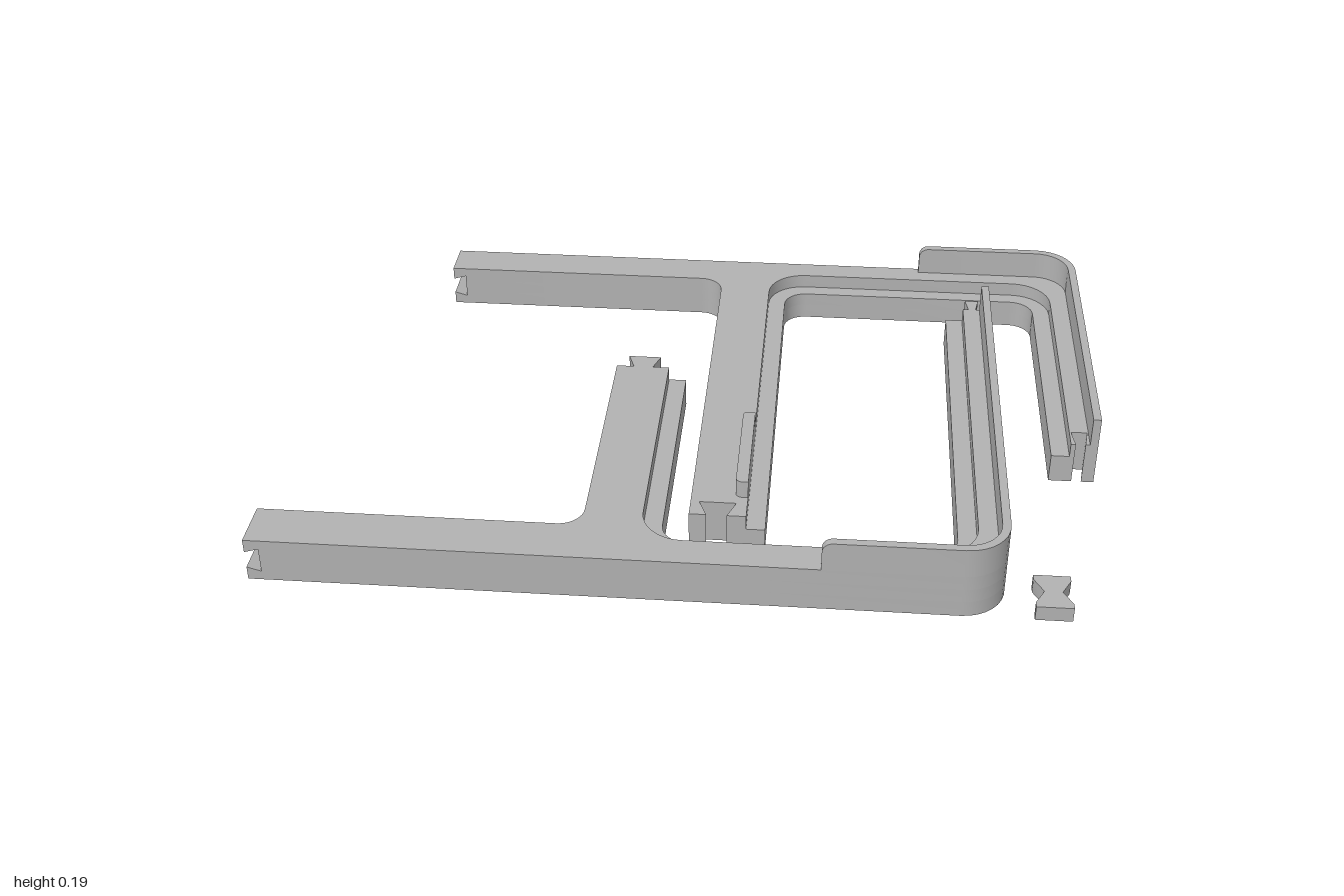
import * as THREE from 'three';
import { toCreasedNormals } from 'three/addons/utils/BufferGeometryUtils.js';

const BAR = 0.112, LEDGE = 0.075, TOP = 0.187, HOLE = 0.04;

export function createModel() {
  const group = new THREE.Group();
  const grey = new THREE.MeshStandardMaterial({ color: 0xb2b2b2 });
  grey.name = 'grey plastic';

  // closed outline from [x, y, cornerRadius] points (rounded corners are right angles)
  const outline = (pts) => {
    const shape = new THREE.Shape();
    const n = pts.length;
    pts.forEach(([x, y, r = 0], i) => {
      const a = pts[(i + n - 1) % n], b = pts[(i + 1) % n];
      const toward = (q, d) => {
        const l = Math.hypot(q[0] - x, q[1] - y);
        return [x + (q[0] - x) * d / l, y + (q[1] - y) * d / l];
      };
      const s = toward(a, r);
      if (i === 0) shape.moveTo(...s); else shape.lineTo(...s);
      if (r) shape.bezierCurveTo(...toward(a, r * 0.448), ...toward(b, r * 0.448), ...toward(b, r));
    });
    shape.closePath();
    return shape;
  };
  const add = (parent, name, geo) => {
    const mesh = new THREE.Mesh(toCreasedNormals(geo, 0.6), grey);
    mesh.name = name;
    parent.add(mesh);
  };
  const extrude = (shape, depth) =>
    new THREE.ExtrudeGeometry(shape, { depth, bevelEnabled: false, curveSegments: 8 });

  // plan-view slab: points are [x, z, radius], from height y0 to y1
  const slab = (parent, name, pts, y0, y1, hole) => {
    const shape = outline(pts.map(([x, z, r]) => [x, -z, r]));
    if (hole) shape.holes.push(new THREE.Path().absarc(hole[0], -hole[1], 0.022, 0, Math.PI * 2, true));
    add(parent, name, extrude(shape, y1 - y0).rotateX(-Math.PI / 2).translate(0, y0, 0));
  };
  // front-view profile, extruded between two z values
  const profile = (parent, name, shape, za, zb) =>
    add(parent, name, extrude(shape, Math.abs(zb - za)).translate(0, 0, Math.min(za, zb)));

  // dovetail tab or notch at the end of an arm
  const dovetail = (cx, narrow, wide, z0, z1) =>
    [[cx + narrow, z0], [cx + wide, z1], [cx - wide, z1], [cx - narrow, z0]];

  // half frame: long bar, cross arm, stepped side arm and raised rim
  const halfFrame = (name, p) => {
    const part = new THREE.Group();
    part.name = name;
    group.add(part);
    const s = Math.sign(p.zi - p.zo);
    const start = p.x0 + 0.06;

    // body layers; the upper one steps back to leave the panel ledge
    const plan = (step) => {
      const g = step ? 0.045 : 0, r = step ? 0.1 : 0.06;
      const zr = p.zi - s * (step ? 0.04 : 0);
      return [
        [start, p.zo], ...p.cut, [p.xr, p.zo, 0.105], [p.xr, p.sideEnd], ...p.sideJoint,
        [p.xi + g, p.sideEnd], [p.xi + g, zr, r], [p.ar - g, zr, r],
        [p.ar - g, p.armEnd], ...p.armJoint, [p.al, p.armEnd], [p.al, p.zi, 0.06], [start, p.zi],
      ];
    };
    slab(part, 'frameBase', plan(false), 0, HOLE, p.hole);
    slab(part, 'frameLedge', plan(false), HOLE, LEDGE);
    slab(part, 'frameTop', plan(true), LEDGE, BAR);

    // bar end with a sideways dovetail groove
    const x = p.x0;
    profile(part, 'groovedEnd', outline([
      [x, 0], [start, 0], [start, BAR], [x, BAR],
      [x, 0.078], [x + 0.034, 0.088], [x + 0.034, 0.024], [x, 0.034],
    ]), p.zo, p.zi);

    // raised rim round the outer corner, with a rounded start
    const t = 0.02, w = p.rimStart + 0.03;
    slab(part, 'rim', [
      [w, p.zo], [p.xr, p.zo, 0.105], [p.xr, p.sideEnd], [p.xr - t, p.sideEnd],
      [p.xr - t, p.zo + s * t, 0.085], [w, p.zo + s * t],
    ], BAR, TOP);
    profile(part, 'rimStart', outline([
      [p.rimStart, BAR], [w, BAR], [w, TOP], [p.rimStart, TOP, 0.025],
    ]), p.zo, p.zo + s * t);
    return part;
  };

  const back = halfFrame('backFrame', {
    x0: -0.76, xr: 1, xi: 0.888, ar: 0.195, al: 0.015, zo: -0.703, zi: -0.598,
    sideEnd: 0.153, armEnd: 0.515, rimStart: 0.57, hole: [0.925, -0.64],
    cut: [[0.66, -0.703], [0.66, -0.653], [0.78, -0.653], [0.78, -0.703]],
    sideJoint: dovetail(0.957, 0.012, 0.02, 0.153, 0.1),
    armJoint: dovetail(0.08, 0.024, 0.044, 0.515, 0.465),
  });
  halfFrame('frontFrame', {
    x0: -1, xr: 0.755, xi: 0.645, ar: -0.047, al: -0.23, zo: 0.7, zi: 0.577,
    sideEnd: -0.485, armEnd: -0.118, rimStart: 0.33, hole: [0.69, 0.64],
    cut: [],
    sideJoint: dovetail(0.715, 0.01, 0.018, -0.485, -0.53),
    armJoint: dovetail(-0.16, 0.025, 0.042, -0.118, -0.167),
  });

  // hexagonal socket in the outer face of the back bar
  const socket = outline([[0.66, 0], [0.78, 0], [0.78, BAR], [0.66, BAR]]);
  const hex = Array.from({ length: 6 }, (_, i) => new THREE.Vector2(
    0.72 + 0.043 * Math.cos(i * Math.PI / 3), 0.056 + 0.043 * Math.sin(i * Math.PI / 3)));
  socket.holes.push(new THREE.Path(hex));
  profile(back, 'hexSocket', socket, -0.703, -0.653);

  // small raised stop on the cross arm
  slab(back, 'stopRidge',
    [[0.12, 0.143, 0.01], [0.15, 0.143], [0.15, 0.44], [0.12, 0.44, 0.015]], BAR, 0.157);

  // loose bow-tie joining key
  slab(group, 'joiningKey', [
    [0.818, 0.585], [0.904, 0.585], [0.904, 0.602], [0.882, 0.643], [0.904, 0.684], [0.904, 0.7],
    [0.818, 0.7], [0.818, 0.684], [0.84, 0.643], [0.818, 0.602],
  ], 0, 0.038);

  return group;
}
